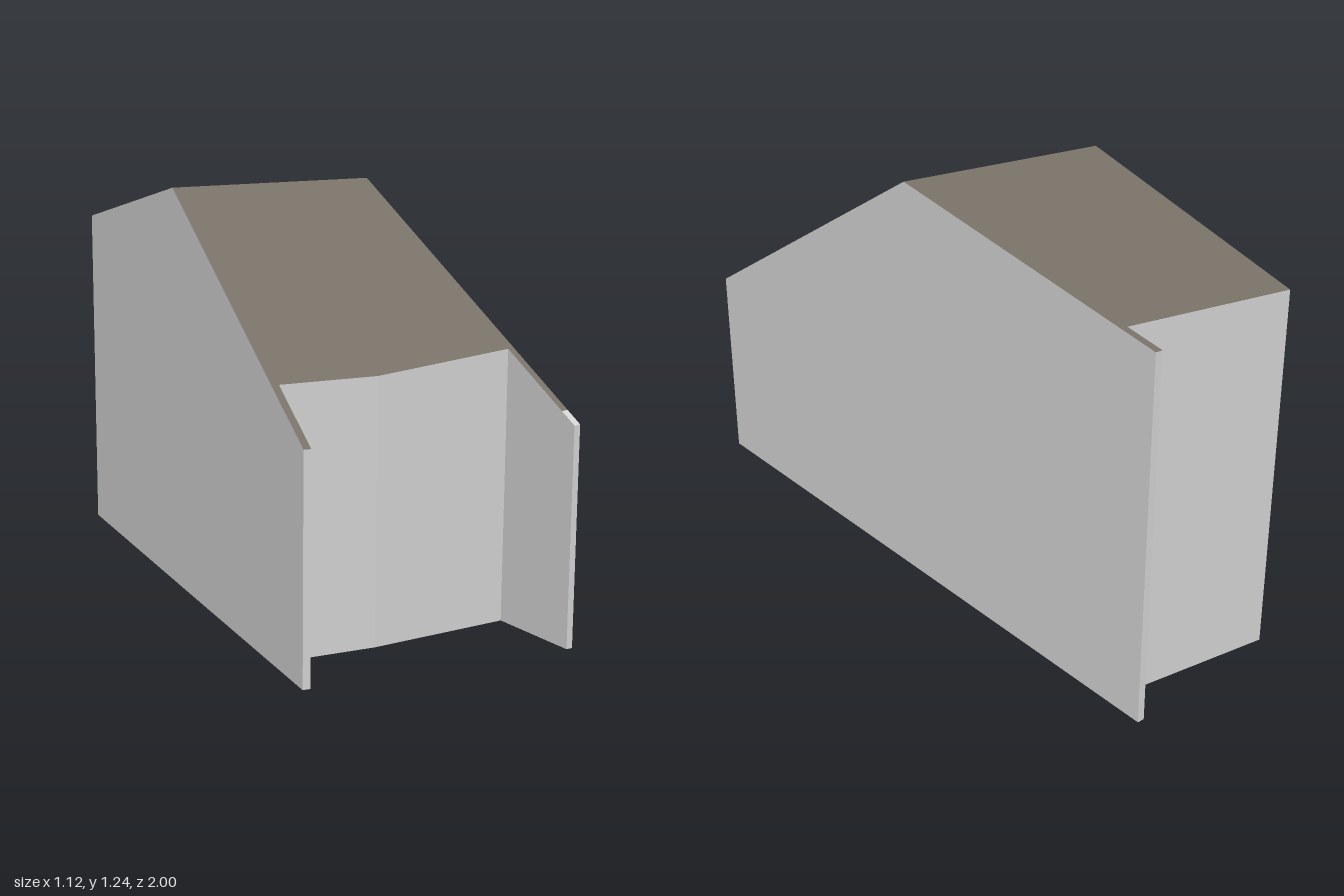
import * as THREE from 'three';

// Plan corners [x, z], counter-clockwise seen from above
const P = {
  tipOuter: [0.199, 1.0], capOuter: [0.208, 0.95], ridgeL: [0.381, 0.01],
  backOuter: [0.557, -0.94], backInner: [0.537, -0.945], backLeft: [0.516, -0.83],
  backRight: [0.04, -1.0], ridgeR: [-0.244, -0.18],
  finOuter: [-0.56, 0.735], finInner: [-0.54, 0.742], frontRight: [-0.473, 0.547],
  frontMid: [-0.2, 0.637], frontLeft: [0.23, 0.722], capInner: [0.189, 0.946], tipInner: [0.18, 0.996],
};

// Roof height: the lower of the two sloping planes that meet at the ridge
function roofHeight([x, z]) {
  const dx = x - 0.381, dz = z - 0.01;
  return 1.235 + Math.min(0.2013 * dx - 0.579 * dz, -0.0259 * dx + 0.1636 * dz);
}

function meshFrom(name, positions, material) {
  const geometry = new THREE.BufferGeometry();
  geometry.setAttribute('position', new THREE.Float32BufferAttribute(positions.flat(), 3));
  geometry.computeVertexNormals();
  const mesh = new THREE.Mesh(geometry, material);
  mesh.name = name;
  return mesh;
}

// Fills a plan outline at the given height rule, facing up or down
function plate(name, points, height, material, down = false) {
  const flat = points.map(([x, z]) => new THREE.Vector2(x, -z));
  const positions = [];
  for (const tri of THREE.ShapeUtils.triangulateShape(flat, [])) {
    for (const i of down ? [...tri].reverse() : tri) {
      positions.push([points[i][0], height(points[i]), points[i][1]]);
    }
  }
  return meshFrom(name, positions, material);
}

export function createModel() {
  const wall = new THREE.MeshStandardMaterial({ color: 0xd0d0d0 });
  wall.name = 'light grey wall';
  const roof = new THREE.MeshStandardMaterial({ color: 0x777067 });
  roof.name = 'brown roof';

  const group = new THREE.Group();
  group.name = 'house';

  // Upright walls around the whole outline, including the projecting side walls
  const outline = Object.values(P);
  const sides = [];
  outline.forEach((p, i) => {
    const q = outline[(i + 1) % outline.length];
    const a = [p[0], 0, p[1]], b = [q[0], 0, q[1]];
    const c = [q[0], roofHeight(q), q[1]], d = [p[0], roofHeight(p), p[1]];
    sides.push(a, b, c, a, c, d);
  });
  group.add(meshFrom('walls', sides, wall));
  group.add(plate('floor', outline, () => 0, wall, true));

  // Two roof slopes and the bare top of the wall tip
  group.add(plate('frontRoof', [P.capOuter, P.ridgeL, P.ridgeR, P.finOuter, P.finInner,
    P.frontRight, P.frontMid, P.frontLeft, P.capInner], roofHeight, roof));
  group.add(plate('backRoof', [P.ridgeL, P.backOuter, P.backInner, P.backLeft,
    P.backRight, P.ridgeR], roofHeight, roof));
  group.add(plate('wallTip', [P.tipOuter, P.capOuter, P.capInner, P.tipInner], roofHeight, wall));

  return group;
}
